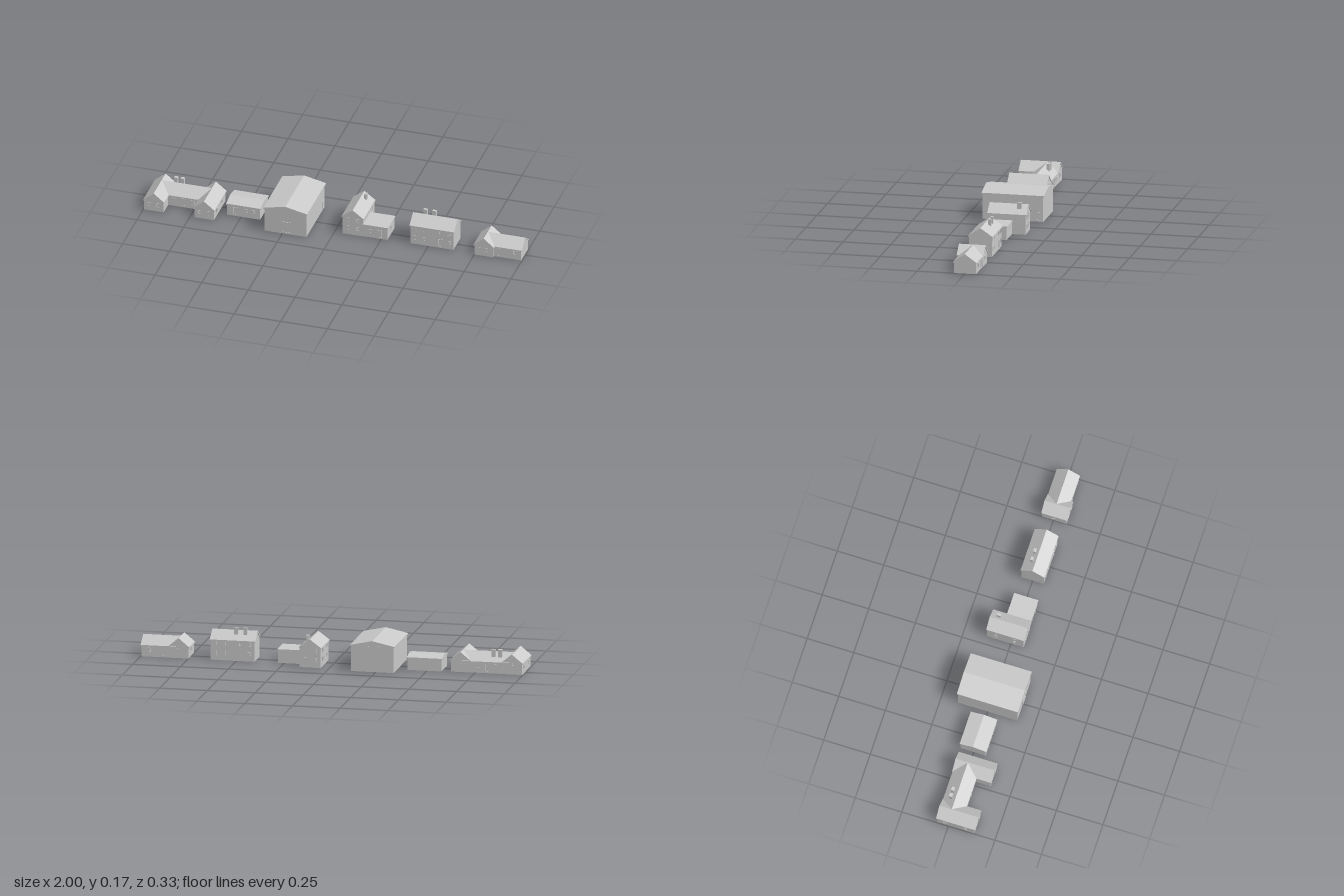
import * as THREE from 'three';

const material = new THREE.MeshStandardMaterial({ color: 0xcccccc, flatShading: true });

function addMesh(parent, geometry, name, x = 0, y = 0, z = 0) {
  const mesh = new THREE.Mesh(geometry, material);
  mesh.name = name;
  mesh.position.set(x, y, z);
  parent.add(mesh);
  return mesh;
}

function box(parent, name, x, y, z, w, h, d) {
  return addMesh(parent, new THREE.BoxGeometry(w, h, d), name, x, y, z);
}

// Extrude an outline in the cross-section along z, centred
function prism(points, length) {
  const shape = new THREE.Shape(points.map(([a, b]) => new THREE.Vector2(a, b)));
  const geometry = new THREE.ExtrudeGeometry(shape, { depth: length, bevelEnabled: false });
  return geometry.translate(0, 0, -length / 2);
}

// Gabled block; x0..x1 and z0..z1 are the roof's outer limits
function gabled(parent, name, x0, x1, z0, z1, eave, ridge, axis, overhang = 0.004) {
  const t = 0.007;
  const alongX = axis === 'x';
  const half = (alongX ? z1 - z0 : x1 - x0) / 2;
  const length = alongX ? x1 - x0 : z1 - z0;
  const wallHalf = half - overhang;
  const wallTop = eave + (ridge - eave) * overhang / half;
  const walls = prism([[-wallHalf, 0], [wallHalf, 0], [wallHalf, wallTop - t / 2],
    [0, ridge - t / 2], [-wallHalf, wallTop - t / 2]], length - 2 * overhang);
  const roof = prism([[-half, eave - t], [0, ridge - t], [half, eave - t],
    [half, eave], [0, ridge], [-half, eave]], length);
  for (const [geometry, part] of [[walls, 'Walls'], [roof, 'Roof']]) {
    if (alongX) geometry.rotateY(Math.PI / 2);
    addMesh(parent, geometry, name + part, (x0 + x1) / 2, 0, (z0 + z1) / 2);
  }
}

// Framed opening: a thin panel with a raised surround, facing x or z
function opening(parent, name, x, y, z, w, h, facing) {
  const group = new THREE.Group();
  group.name = name;
  group.position.set(x, y, z);
  group.rotation.y = { front: 0, back: Math.PI, left: Math.PI / 2, right: -Math.PI / 2 }[facing];
  const f = 0.002;
  box(group, 'panel', 0, 0, 0, w, h, 0.002);
  for (const s of [-1, 1]) {
    box(group, 'jamb', s * (w - f) / 2, 0, 0.001, f, h, 0.004);
    box(group, 'rail', 0, s * (h - f) / 2, 0.001, w - 2 * f, f, 0.004);
  }
  parent.add(group);
}

function windowsZ(parent, xs, ys, z, facing, w = 0.016, h = 0.022) {
  for (const x of xs) for (const y of ys) opening(parent, 'window', x, y, z, w, h, facing);
}

function windowsX(parent, zs, ys, x, facing, w = 0.016, h = 0.022) {
  for (const z of zs) for (const y of ys) opening(parent, 'window', x, y, z, w, h, facing);
}

function door(parent, x, z, facing, w = 0.022, h = 0.042) {
  opening(parent, 'door', x, 0.009 + h / 2, z, w, h, facing);
}

function building(parent, name, build) {
  const group = new THREE.Group();
  group.name = name;
  build(group);
  parent.add(group);
}

export function createModel() {
  const model = new THREE.Group();
  model.name = 'farmBuildings';

  // U-shaped house with two projecting wings
  building(model, 'courtyardHouse', g => {
    gabled(g, 'main', -0.945, -0.675, -0.064, 0.064, 0.06, 0.104, 'x');
    for (const [x0, x1] of [[-1, -0.888], [-0.731, -0.619]]) {
      const mid = (x0 + x1) / 2;
      gabled(g, 'wing', x0, x1, -0.066, 0.143, 0.06, 0.105, 'z');
      windowsZ(g, [mid - 0.022, mid + 0.022], [0.036], 0.139, 'front');
      windowsZ(g, [mid], [0.036], -0.062, 'back');
    }
    door(g, -0.81, 0.06, 'front');
    windowsZ(g, [-0.86, -0.76], [0.036], 0.06, 'front');
    windowsZ(g, [-0.86, -0.77], [0.036], -0.06, 'back');
    door(g, -0.815, -0.06, 'back');
    windowsX(g, [-0.02, 0.09], [0.036], -0.996, 'right');
    windowsX(g, [0, 0.09], [0.036], -0.623, 'left');
    for (const x of [-0.875, -0.84]) box(g, 'chimney', x, 0.098, -0.026, 0.02, 0.044, 0.016);
  });

  // Low shed
  building(model, 'lowShed', g => {
    gabled(g, 'shed', -0.58, -0.395, -0.075, 0.068, 0.067, 0.08, 'x');
    door(g, -0.53, 0.064, 'front');
    windowsZ(g, [-0.468, -0.438], [0.04], 0.064, 'front');
  });

  // Large barn
  building(model, 'barn', g => {
    gabled(g, 'barn', -0.35, -0.117, -0.164, 0.164, 0.138, 0.163, 'z', 0.005);
    door(g, -0.232, 0.159, 'front', 0.05, 0.062);
    door(g, -0.122, -0.13, 'left', 0.024, 0.042);
    for (let i = 0; i < 5; i++) box(g, 'vent', -0.27 + i * 0.019, 0.133, -0.159, 0.01, 0.003, 0.002);
  });

  // Two-storey house with a flat-roofed annex
  building(model, 'houseWithAnnex', g => {
    gabled(g, 'house', 0.04, 0.157, -0.132, 0.072, 0.105, 0.148, 'z');
    box(g, 'annexWalls', 0.215, 0.033, 0.004, 0.134, 0.066, 0.122);
    box(g, 'annexRoof', 0.217, 0.069, 0.004, 0.138, 0.007, 0.13);
    windowsZ(g, [0.074, 0.126], [0.04, 0.088], 0.068, 'front');
    windowsZ(g, [0.074, 0.126], [0.04, 0.088], -0.128, 'back');
    windowsX(g, [-0.1], [0.083], 0.153, 'left', 0.02, 0.026);
    door(g, 0.153, -0.1, 'left', 0.022, 0.042);
    windowsX(g, [-0.08, 0.02], [0.04, 0.088], 0.044, 'right');
    door(g, 0.242, 0.065, 'front');
    windowsZ(g, [0.19], [0.038], 0.065, 'front');
    windowsX(g, [0], [0.038], 0.282, 'left');
    box(g, 'chimney', 0.12, 0.14, -0.089, 0.014, 0.042, 0.022);
  });

  // Two-storey farmhouse
  building(model, 'farmhouse', g => {
    gabled(g, 'farmhouse', 0.4, 0.638, -0.064, 0.064, 0.107, 0.15, 'x');
    const columns = [0.432, 0.478, 0.565, 0.61];
    windowsZ(g, columns, [0.09], 0.06, 'front');
    windowsZ(g, [0.432, 0.478, 0.61], [0.038], 0.06, 'front');
    door(g, 0.565, 0.06, 'front');
    windowsZ(g, columns, [0.09], -0.06, 'back');
    windowsZ(g, [0.432, 0.565, 0.61], [0.038], -0.06, 'back');
    door(g, 0.478, -0.06, 'back');
    for (const x of [0.46, 0.508]) box(g, 'chimney', x, 0.147, -0.021, 0.02, 0.04, 0.014);
  });

  // Small cottage with a cross wing
  building(model, 'cottage', g => {
    gabled(g, 'cottage', 0.8, 1, -0.062, 0.062, 0.06, 0.104, 'x');
    gabled(g, 'wing', 0.746, 0.855, -0.064, 0.075, 0.06, 0.105, 'z');
    windowsZ(g, [0.775, 0.818], [0.038], 0.071, 'front');
    door(g, 0.878, 0.058, 'front');
    windowsZ(g, [0.963], [0.038], 0.058, 'front');
    windowsZ(g, [0.8, 0.955], [0.038], -0.06, 'back');
    door(g, 0.89, -0.058, 'back');
    windowsX(g, [0], [0.038], 0.75, 'right');
  });

  return model;
}
